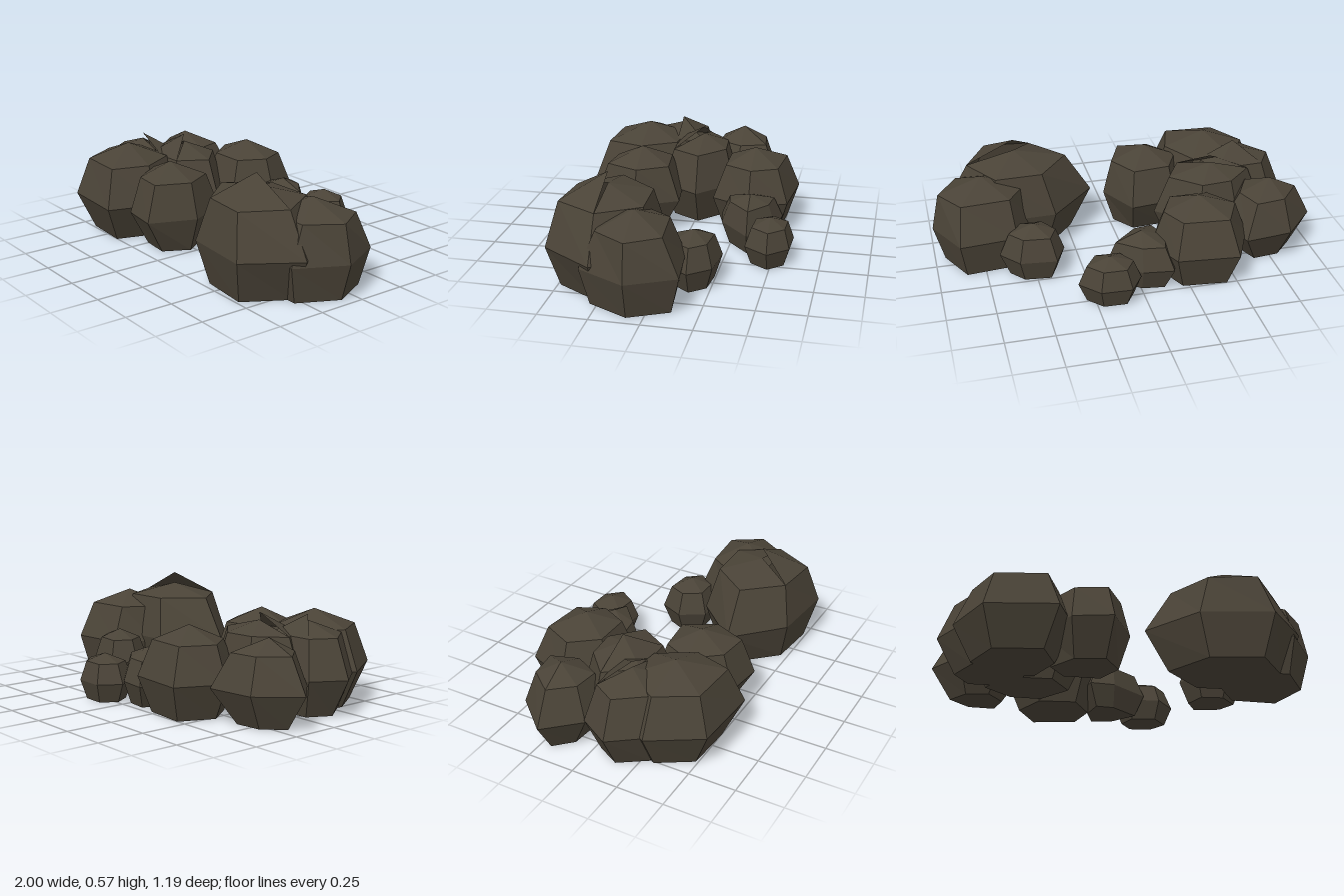
import * as THREE from 'three';

// Each boulder: centre, waist height, x and z width of the shoulder and foot
// rings relative to the waist, and the six waist corners running
// left, front-left, front-right, right, back-right, back-left.
// peak and raised lift some of the top facets into a split crest.
const ROCKS = {
  largeRightBoulder: {
    centre: [0.53, 0.27], waist: 0.222, shoulder: [0.67, 0.8], foot: [0.72, 0.8],
    peak: 0.06, raised: [1, 2],
    corners: [[0.11, 0.27], [0.36, 0.51], [0.73, 0.54], [0.91, 0.27], [0.72, 0.01], [0.35, 0.02]],
  },
  outerRightBoulder: {
    centre: [0.73, 0.09], waist: 0.192, shoulder: [0.85, 0.67], foot: [0.8, 0.82],
    corners: [[0.47, 0.08], [0.6, 0.33], [0.87, 0.33], [1.0, 0.08], [0.88, -0.16], [0.58, -0.13]],
  },
  smallRightStone: {
    centre: [0.5, -0.15], waist: 0.118, shoulder: [0.72, 0.72], foot: [0.72, 0.72],
    corners: [[0.34, -0.15], [0.42, -0.02], [0.58, -0.02], [0.68, -0.15], [0.59, -0.26], [0.4, -0.28]],
  },
  frontLeftBoulder: {
    centre: [-0.55, 0.32], waist: 0.2, shoulder: [0.72, 0.75], foot: [0.68, 0.67],
    corners: [[-0.86, 0.31], [-0.7, 0.57], [-0.33, 0.59], [-0.25, 0.33], [-0.4, 0.08], [-0.7, 0.06]],
  },
  frontMiddleBoulder: {
    centre: [-0.2, 0.28], waist: 0.187, shoulder: [0.8, 0.72], foot: [0.75, 0.55],
    corners: [[-0.42, 0.28], [-0.27, 0.49], [-0.06, 0.515], [0.035, 0.27], [-0.08, 0.05], [-0.33, 0.08]],
  },
  outerLeftBoulder: {
    centre: [-0.67, 0.15], waist: 0.195, shoulder: [0.72, 0.72], foot: [0.64, 0.7],
    peak: 0.03, raised: [3, 4],
    corners: [[-0.95, 0.15], [-0.8, 0.35], [-0.53, 0.34], [-0.4, 0.15], [-0.5, -0.04], [-0.85, -0.02]],
  },
  centreLeftBoulder: {
    centre: [-0.49, -0.01], waist: 0.195, shoulder: [0.74, 0.74], foot: [0.72, 0.72],
    peak: 0.04, raised: [0, 1],
    corners: [[-0.78, -0.01], [-0.62, 0.2], [-0.3, 0.19], [-0.18, -0.02], [-0.38, -0.2], [-0.6, -0.18]],
  },
  backLeftBoulder: {
    centre: [-0.76, -0.2], waist: 0.175, shoulder: [0.62, 0.68], foot: [0.55, 0.52],
    corners: [[-1.0, -0.19], [-0.84, -0.02], [-0.62, 0], [-0.5, -0.2], [-0.58, -0.41], [-0.83, -0.38]],
  },
  backBoulder: {
    centre: [-0.33, -0.33], waist: 0.183, shoulder: [0.74, 0.7], foot: [0.72, 0.74],
    corners: [[-0.6, -0.32], [-0.45, -0.12], [-0.18, -0.12], [-0.08, -0.33], [-0.17, -0.53], [-0.49, -0.56]],
  },
  smallBackStone: {
    centre: [-0.02, -0.35], waist: 0.118, shoulder: [0.72, 0.72], foot: [0.72, 0.72],
    corners: [[-0.2, -0.34], [-0.14, -0.18], [-0.01, -0.2], [0.165, -0.36], [0, -0.49], [-0.16, -0.51]],
  },
  smallestBackStone: {
    centre: [0.17, -0.485], waist: 0.1, shoulder: [0.74, 0.74], foot: [0.74, 0.74],
    corners: [[0.01, -0.49], [0.08, -0.375], [0.25, -0.365], [0.335, -0.49], [0.24, -0.595], [0.08, -0.6]],
  },
};

// Row heights in waist heights, from the apex down to the flat underside
const ROW_HEIGHT = [2.41, 2, 1, 0, 0];

function rockGeometry({ centre, waist, shoulder, foot, corners, peak = 0, raised = [] }) {
  const geometry = new THREE.SphereGeometry(1, 6, 4);
  const p = geometry.attributes.position;
  const rowWidth = [[0, 0], shoulder, [1, 1], foot, [0, 0]];
  for (let i = 0; i < p.count; i++) {
    const row = Math.floor(i / 7);
    const column = i % 7;
    const [x, z] = corners[column % 6]; // the seam column repeats the first
    const [sx, sz] = rowWidth[row];
    let y = waist * ROW_HEIGHT[row];
    // Each top facet has its own apex corner
    if (row === 0) y += raised.includes(column) ? peak / 2 : -peak / 2;
    p.setXYZ(i, (x - centre[0]) * sx, y, (z - centre[1]) * sz);
  }
  geometry.computeVertexNormals();
  return geometry;
}

export function createModel() {
  const group = new THREE.Group();
  group.name = 'boulderCluster';
  const stone = new THREE.MeshStandardMaterial({
    color: 0x4a4337, flatShading: true, side: THREE.DoubleSide,
  });
  stone.name = 'darkStone';

  for (const [name, shape] of Object.entries(ROCKS)) {
    const rock = new THREE.Mesh(rockGeometry(shape), stone);
    rock.name = name;
    rock.position.set(shape.centre[0], 0, shape.centre[1]);
    group.add(rock);
  }
  return group;
}
